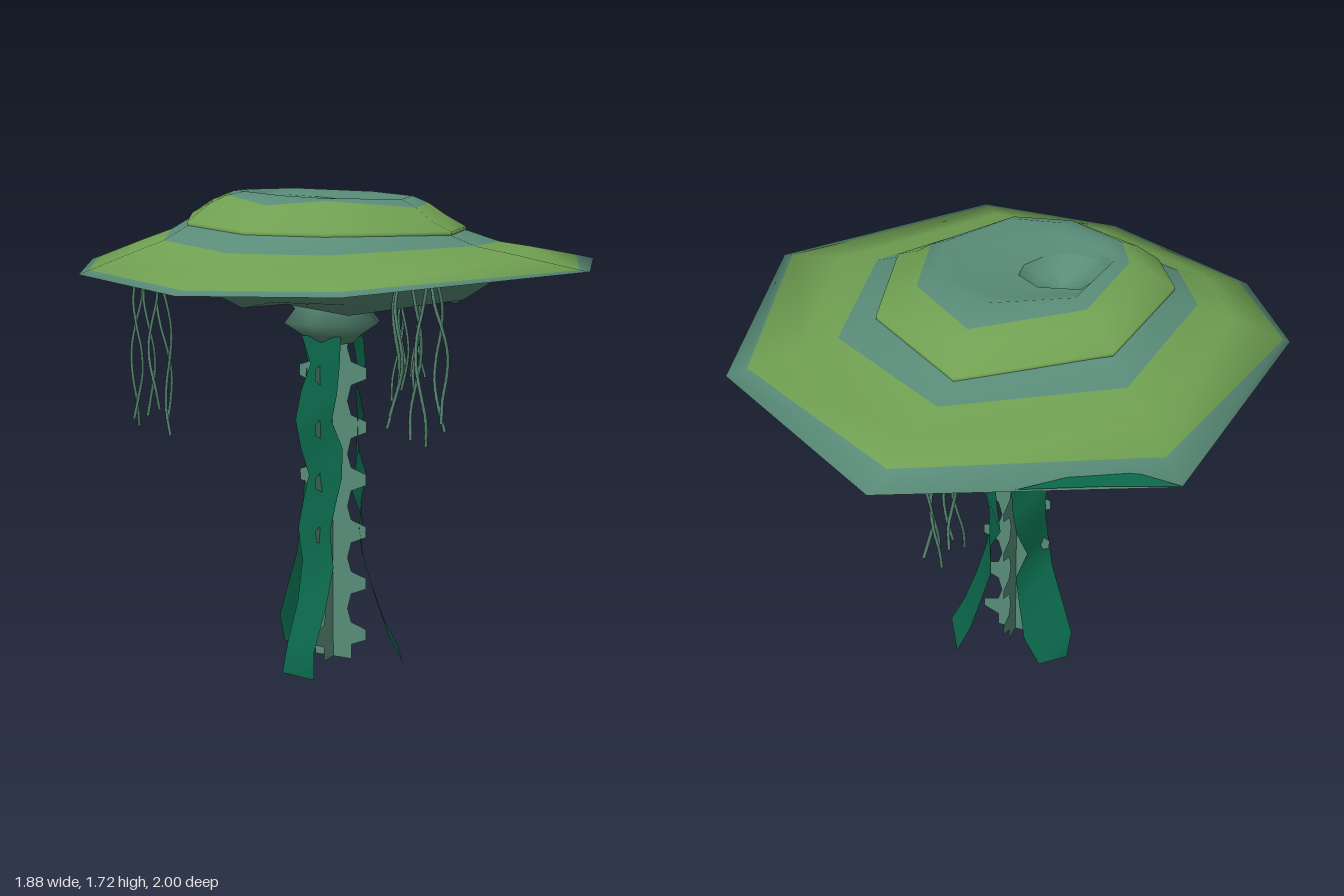
import * as THREE from 'three';

const mat = (name, color, side = THREE.FrontSide) => {
  const m = new THREE.MeshStandardMaterial({ color, side });
  m.name = name;
  return m;
};

// Corners of the eight-sided cap, clockwise from the back: x, y, z
const RIM = [[0.01, 1.465, -1], [0.71, 1.46, -0.6], [0.94, 1.45, 0.21], [0.44, 1.4, 0.97],
  [-0.1, 1.39, 1], [-0.7, 1.425, 0.68], [-0.94, 1.46, 0.28], [-0.82, 1.465, -0.63]];
const STEP = [[-0.04, 1.56, -0.48], [0.33, 1.58, -0.26], [0.45, 1.57, 0.17], [0.18, 1.57, 0.57],
  [-0.1, 1.575, 0.59], [-0.43, 1.6, 0.42], [-0.55, 1.63, 0.2], [-0.49, 1.64, -0.28]];
const DIMPLE = [[-0.16, 1.685, -0.06], [-0.07, 1.68, 0], [-0.06, 1.675, 0.08], [-0.11, 1.67, 0.19],
  [-0.18, 1.675, 0.21], [-0.27, 1.685, 0.19], [-0.34, 1.69, 0.11], [-0.3, 1.695, -0.04]];

// Blend two rings; t may differ per corner, lift raises the result
const mix = (a, b, t, lift = 0) => a.map((p, i) => {
  const k = Array.isArray(t) ? t[i] : t;
  return p.map((v, j) => v + (b[i][j] - v) * k + (j === 1 ? lift : 0));
});
// Scale a ring about (cx, cz) and set its height by a rule of x, z and corner number
const scaled = (ring, s, height, cx = 0, cz = 0) => ring.map(([x, , z], i) => {
  const px = cx + (x - cx) * s, pz = cz + (z - cz) * s;
  return [px, typeof height === 'function' ? height(px, pz, i) : height, pz];
});

// Smooth skin through rings; bands[i] is the material index between ring i and i + 1.
// Each [ring, tilt] in rounded leans that ring's normals outward from straight up.
function loft(name, rings, bands, materials, rounded = []) {
  const n = rings[0].length, index = [];
  const geo = new THREE.BufferGeometry();
  bands.forEach((band, r) => {
    geo.addGroup(index.length, n * 6, band);
    for (let i = 0; i < n; i++) {
      const a = r * n + i, b = r * n + (i + 1) % n;
      index.push(a, a + n, b, b, a + n, b + n);
    }
  });
  geo.setAttribute('position', new THREE.Float32BufferAttribute(rings.flat(2), 3));
  geo.setIndex(index);
  geo.computeVertexNormals();
  for (const [r, tilt] of rounded) {
    rings[r].forEach(([x, , z], i) => {
      const d = Math.hypot(x, z);
      geo.attributes.normal.setXYZ(r * n + i, x / d * Math.sin(tilt), Math.cos(tilt), z / d * Math.sin(tilt));
    });
  }
  const mesh = new THREE.Mesh(geo, materials);
  mesh.name = name;
  return mesh;
}

// Flat strip through pairs of edge points
function strip(name, pairs, material) {
  const geo = new THREE.BufferGeometry(), index = [];
  for (let i = 0; i < pairs.length - 1; i++) {
    const a = i * 2;
    index.push(a, a + 2, a + 1, a + 1, a + 2, a + 3);
  }
  geo.setAttribute('position', new THREE.Float32BufferAttribute(pairs.flat(2), 3));
  geo.setIndex(index);
  geo.computeVertexNormals();
  const mesh = new THREE.Mesh(geo, material);
  mesh.name = name;
  return mesh;
}

export function createModel() {
  const model = new THREE.Group();
  model.name = 'jellyMushroom';
  const teal = mat('teal', 0x598c78);
  const green = mat('leafGreen', 0x70a052);
  const tealSheet = mat('tealSheet', 0x598c78, THREE.DoubleSide);
  const dark = mat('deepGreen', 0x0b674a, THREE.DoubleSide);
  const capMats = [teal, green];
  const CX = -0.04, CZ = 0.085;

  // Cap: hollow underside turning at the rim into the banded skirt
  const hollow = scaled(RIM, 0.62, 1.425);
  const edge = [0.22, 0.14, 0.07, 0.1, 0.1, 0.1, 0.06, 0.22];
  const bandEnd = [0.8, 0.74, 0.82, 0.76, 0.76, 0.78, 0.8, 0.78];
  model.add(loft('capSkirt', [hollow, mix(RIM, hollow, 0.5, 0.008), RIM, mix(RIM, STEP, edge, -0.003),
    mix(RIM, STEP, 0.5, -0.014), mix(RIM, STEP, bandEnd, -0.024), mix(RIM, STEP, 1.02, -0.012)],
  [0, 0, 0, 1, 1, 0], capMats, [[2, 1.2], [3, 0.85]]));

  // Cap: raised dome tilted to the front, with a sunken top and a dimple
  const dome = (s, h, k) => scaled(STEP, s, (x, z) => h - k * x - 0.03 * z, -0.05, 0.08);
  const shoulder = dome(0.84, 1.642, 0.09), topRing = dome(0.6, 1.696, 0.06);
  const tealStart = [0.17, 0.5, 0.5, 0.75, 0.25, 0.5, 0.6, 0.5];
  model.add(loft('capDome', [mix(STEP, STEP, 0, -0.012), STEP, shoulder, mix(shoulder, topRing, tealStart, 0.008),
    topRing, mix(topRing, DIMPLE, 0.4, -0.004), DIMPLE], [1, 1, 1, 0, 0, 0], capMats));
  model.add(loft('capDimple', [DIMPLE, scaled(DIMPLE, 0.6, 1.635, -0.19, 0.08),
    scaled(DIMPLE, 0.001, 1.61, -0.19, 0.08)], [0, 0], capMats));

  // Dark patch on the back right of the rim
  model.add(strip('rimPatch', [[[-0.82, 1.469, -0.63], [-0.7, 1.482, -0.635]],
    [[-0.6, 1.473, -0.725], [-0.57, 1.485, -0.67]], [[-0.38, 1.471, -0.825], [-0.4, 1.473, -0.81]]], dark));

  // Hanging tier with a scalloped lower edge, rising again to the neck
  model.add(loft('hangingTier', [scaled(RIM, 0.12, 1.36, CX, CZ), scaled(RIM, 0.27, 1.365),
    scaled(RIM, 0.42, (x, z, i) => i % 2 ? 1.298 : 1.33), scaled(RIM, 0.5, 1.34),
    scaled(RIM, 0.6, 1.395), hollow], [0, 0, 0, 0, 0], capMats));

  // Neck collar
  const collar = [[0.001, 1.17], [0.08, 1.17], [0.11, 1.2], [0.18, 1.245], [0.14, 1.295], [0.18, 1.335], [0.25, 1.365]]
    .map(([r, y]) => new THREE.Vector2(r, y));
  const neck = new THREE.Mesh(new THREE.LatheGeometry(collar, 8), teal);
  neck.name = 'neckCollar';
  neck.position.set(CX, 0, CZ);
  model.add(neck);

  // Toothed sheets crossing inside the stem
  const teeth = [];
  for (let i = 0; i < 6; i++) {
    const y = 0.1 + i * 0.193;
    teeth.push([0.075, y - 0.045], [0.135, y - 0.02], [0.135, y + 0.02], [0.075, y + 0.04],
      [0.06, y + 0.09]);
  }
  const half = [[0.075, 0], ...teeth, [0.07, 1.2]];
  const outline = [...half, ...half.slice().reverse().map(([x, y]) => [-x, y])];
  const sheetGeo = new THREE.ShapeGeometry(new THREE.Shape(outline.map(p => new THREE.Vector2(...p))));
  for (const turn of [0, Math.PI / 2]) {
    const sheet = new THREE.Mesh(sheetGeo, tealSheet);
    sheet.name = 'toothedSheet';
    sheet.position.set(CX, 0, CZ);
    sheet.rotation.y = turn;
    model.add(sheet);
  }

  // Three wavy stem ribbons a third of a turn apart;
  // foot rows: height, distance out, side shift, half width, twist
  const ribbons = [
    { name: 'frontRibbon', out: [0, 1], side: [1, 0],
      foot: [[0.38, 0.12, 0, 0.075, 0.25], [0.24, 0.17, 0, 0.075, 0.35], [0.1, 0.235, -0.01, 0.075, 0.4], [0, 0.255, -0.01, 0.07, 0.15]] },
    { name: 'leftRibbon', out: [0.87, -0.5], side: [0.5, 0.87],
      foot: [[0.38, 0.11, 0, 0.08, 0], [0.26, 0.145, 0, 0.08, 0], [0.11, 0.195, 0, 0.09, 0], [0, 0.25, 0, 0.095, 0]] },
    { name: 'rightRibbon', out: [-0.87, -0.5], side: [-0.5, 0.87],
      foot: [[0.38, 0.11, 0, 0.08, 0.2], [0.26, 0.15, 0, 0.085, 0.4], [0.11, 0.2, 0, 0.095, 0.5], [0, 0.235, 0, 0.06, 0.3]] }
  ];
  ribbons.forEach(({ name, out, side, foot }, k) => {
    const rows = [];
    for (let i = 0; i < 8; i++) {
      const wave = [0, 0.022, -0.01, -0.024][(i + k) % 4];
      rows.push([1.2 - i * 0.1, 0.088 + 0.014 * (i % 2), wave,
        0.068 + 0.01 * ((i + 1) % 2), 0.25 * Math.sin(i * 1.3 + k)]);
    }
    const pairs = [...rows, ...foot].map(([y, o, s, w, twist]) => [-w, w].map(e => {
      const a = o + e * Math.sin(twist), b = s + e * Math.cos(twist);
      return [CX + out[0] * a + side[0] * b, y, CZ + out[1] * a + side[1] * b];
    }));
    model.add(strip(name, pairs, dark));
  });

  // Three clusters of thin hanging tendrils: name, centre x and z, spread in x and z
  let seed = 7;
  const rand = () => (seed = (seed * 16807) % 2147483647) / 2147483647;
  const clusters = [['rightTendrils', -0.485, 0.57, 0.055, 0.035], ['leftTendrils', 0.46, 0.46, 0.07, 0.07],
    ['backTendrils', -0.035, -0.58, 0.025, 0.08]];
  for (const [name, x, z, sx, sz] of clusters) {
    const group = new THREE.Group();
    group.name = name;
    for (let i = 0; i < 6; i++) {
      const a = i / 6 * Math.PI * 2, phase = rand() * 6;
      const length = 0.42 + rand() * 0.13;
      const points = [];
      for (let j = 0; j <= 6; j++) {
        const t = j / 6, r = 0.9 + 0.5 * t;
        points.push(new THREE.Vector3(x + Math.cos(a) * r * sx + 0.02 * Math.sin(t * 6.5 + phase),
          1.42 - length * t, z + Math.sin(a) * r * sz + 0.02 * Math.cos(t * 6 + phase)));
      }
      const tendril = new THREE.Mesh(
        new THREE.TubeGeometry(new THREE.CatmullRomCurve3(points), 18, 0.006, 4), teal);
      tendril.name = 'tendril';
      group.add(tendril);
    }
    model.add(group);
  }
  return model;
}
